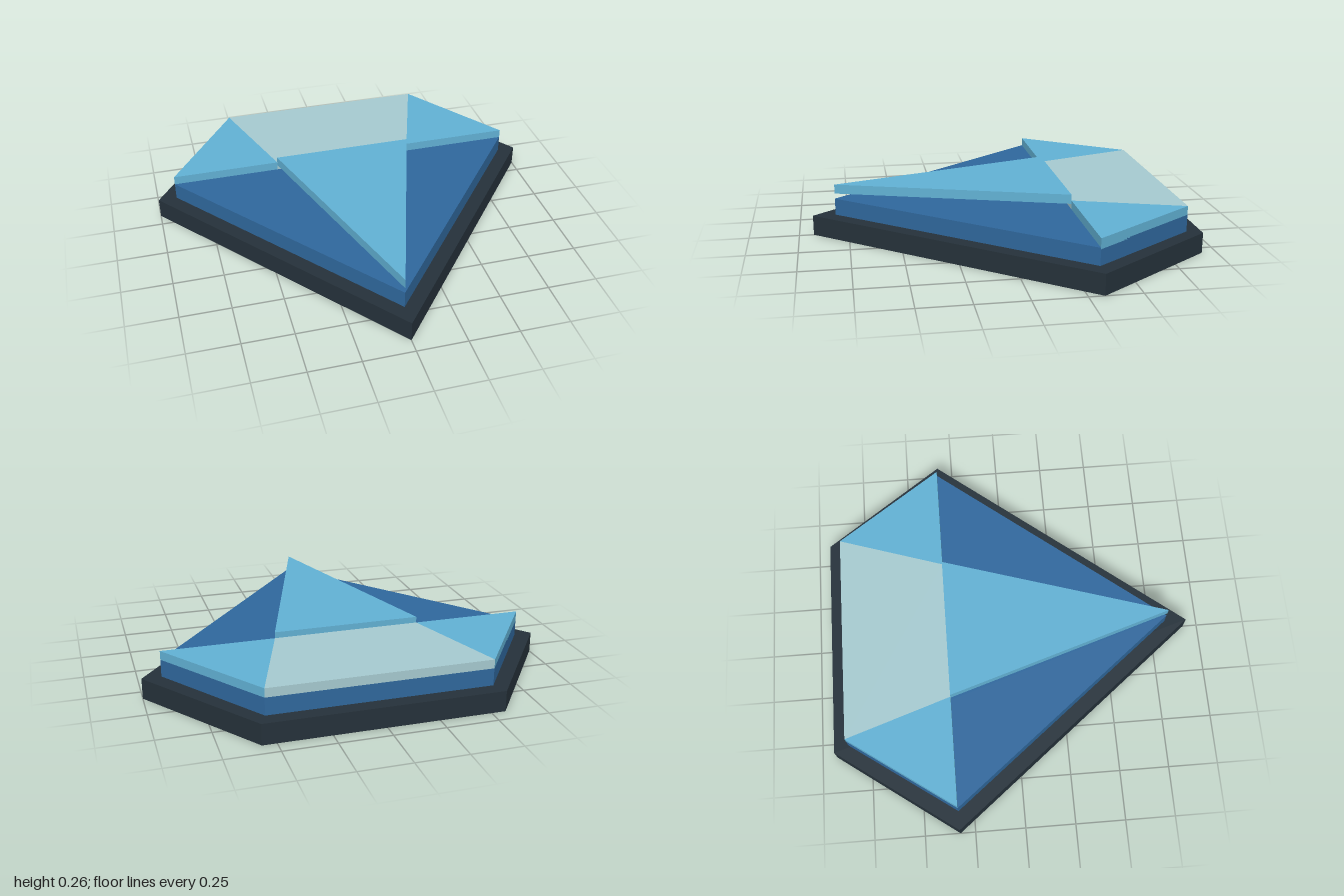
import * as THREE from 'three';

const flat = (name, color) => {
  const m = new THREE.MeshStandardMaterial({ color, side: THREE.DoubleSide });
  m.name = name;
  return m;
};

// Convex outline [x, z] raised into walls with a top and an open underside
function openPrism(outline, y0, y1) {
  const pos = [];
  const add = (p, y) => pos.push(p[0], y, p[1]);
  const n = outline.length;
  outline.forEach((a, i) => {
    const b = outline[(i + 1) % n];
    [[a, y0], [b, y0], [b, y1], [a, y0], [b, y1], [a, y1]].forEach(([p, y]) => add(p, y));
  });
  for (let i = 1; i < n - 1; i++) {
    [outline[0], outline[i], outline[i + 1]].forEach((p) => add(p, y1));
  }
  const g = new THREE.BufferGeometry();
  g.setAttribute('position', new THREE.Float32BufferAttribute(pos, 3));
  g.computeVertexNormals();
  return g;
}

// Five-sided gem silhouette
const gem = (backX, backZ, sideX, sideZ, tipZ) => [
  [-backX, backZ], [-sideX, sideZ], [0, tipZ], [sideX, sideZ], [backX, backZ],
];

export function createModel() {
  const model = new THREE.Group();
  model.name = 'gem';

  const dark = flat('darkSlate', 0x25313a);
  const deep = flat('deepBlue', 0x2f679c);
  const sky = flat('skyBlue', 0x61b0d3);
  const pale = flat('paleBlue', 0xa5c9cf);

  const part = (name, outline, y0, y1, material) => {
    const mesh = new THREE.Mesh(openPrism(outline, y0, y1), material);
    mesh.name = name;
    model.add(mesh);
  };

  const girdle = -0.325; // z of the widest line
  const backX = 0.535, backZ = -0.855, sideX = 0.907, tipZ = 0.813, midX = 0.36;

  // Dark backing and blue body, both open below
  part('backing', gem(0.568, -0.927, 1, girdle, 0.927), 0, 0.102, dark);
  part('body', gem(backX, backZ, sideX, girdle, tipZ), 0.066, 0.187, deep);

  // Raised crown: pale middle with a blue triangle on each side
  part('crownMiddle', [[-backX, backZ], [-midX, girdle], [midX, girdle], [backX, backZ]], 0.18, 0.231, pale);
  part('crownRight', [[-backX, backZ], [-sideX, girdle], [-midX, girdle]], 0.18, 0.231, sky);
  part('crownLeft', [[backX, backZ], [midX, girdle], [sideX, girdle]], 0.18, 0.231, sky);

  // Floating front facet
  part('frontFacet', [[-midX, girdle], [0, tipZ], [midX, girdle]], 0.214, 0.261, sky);

  return model;
}
